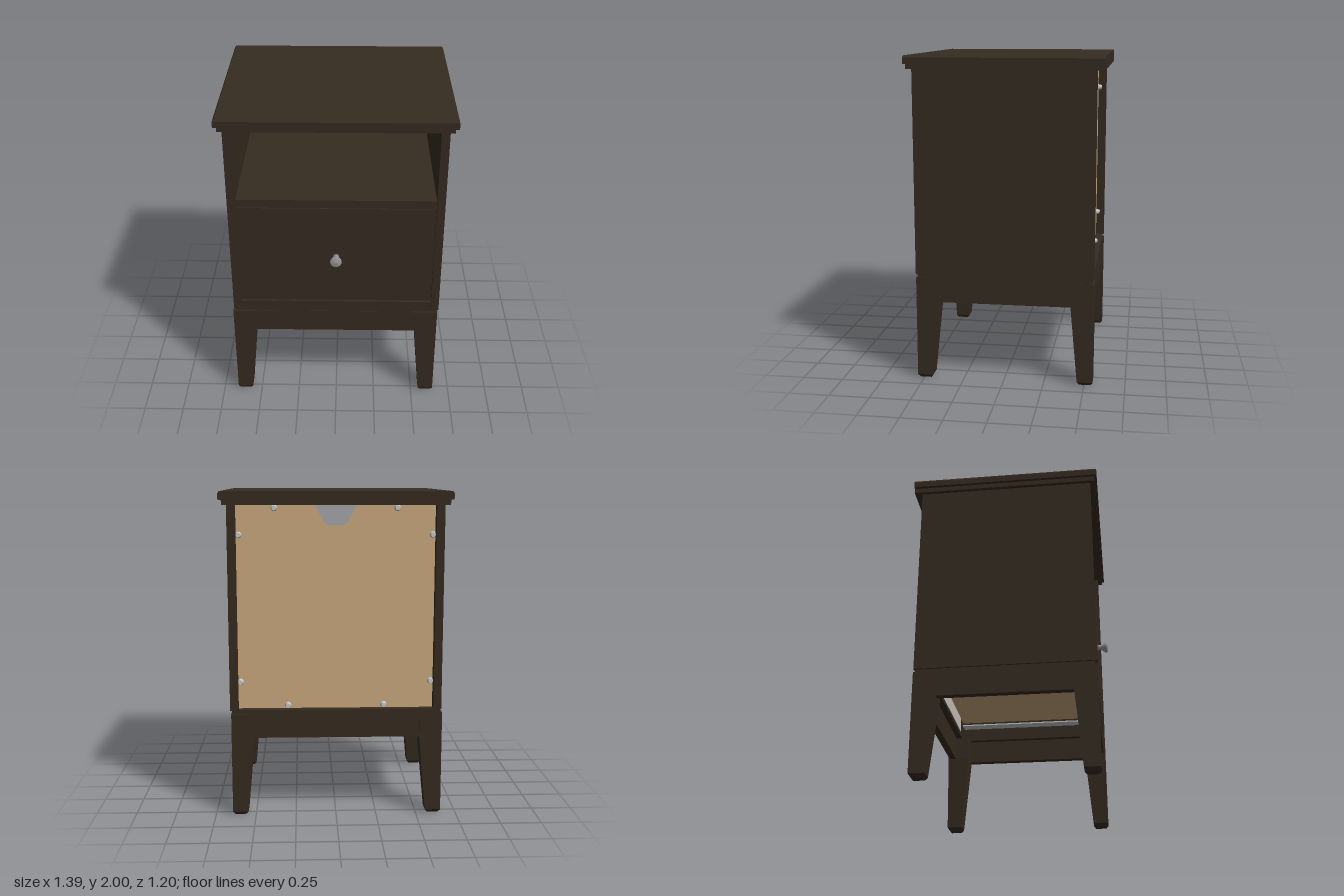
import * as THREE from 'three';

const mat = (name, color) => {
  const m = new THREE.MeshStandardMaterial({ color });
  m.name = name;
  return m;
};

export function createModel() {
  const wood = mat('darkWood', 0x352b20);
  const tan = mat('rawBoard', 0xcba97e);
  const pale = mat('paleBoardFace', 0xc9c3ba);
  const metal = mat('knobMetal', 0x9a9a9a);
  const steel = mat('brightSteel', 0xc4c6c8);

  const root = new THREE.Group();
  root.name = 'nightstand';

  const add = (name, geometry, material, parent = root) => {
    const mesh = new THREE.Mesh(geometry, material);
    mesh.name = name;
    parent.add(mesh);
    return mesh;
  };
  const group = (name) => {
    const g = new THREE.Group();
    g.name = name;
    root.add(g);
    return g;
  };

  // Block between a bottom rectangle and a top rectangle, each [x0, x1, z0, z1]
  const block = (name, y0, y1, bottom, top = bottom, material = wood, parent = root) => {
    const g = new THREE.BoxGeometry(1, 1, 1);
    const p = g.attributes.position;
    for (let i = 0; i < p.count; i++) {
      const up = p.getY(i) > 0;
      const r = up ? top : bottom;
      p.setXYZ(i, p.getX(i) < 0 ? r[0] : r[1], up ? y1 : y0, p.getZ(i) < 0 ? r[2] : r[3]);
    }
    g.computeVertexNormals();
    return add(name, g, material, parent);
  };
  const span = (s, a, b) => [s * a, s * b].sort((m, n) => m - n);

  // Top board with a stepped moulding and a small bevel
  const top = group('top');
  block('topMoulding', 1.92, 1.95, [-0.675, 0.675, -0.6, 0.57], undefined, wood, top);
  const slab = [-0.695, 0.695, -0.6, 0.583];
  block('topSlab', 1.95, 1.988, slab, slab, wood, top);
  block('topBevel', 1.988, 2.0, slab, [-0.687, 0.687, -0.6, 0.575], wood, top);

  // Carcass
  for (const s of [-1, 1]) {
    block(s > 0 ? 'leftSide' : 'rightSide', 0.67, 1.925, [...span(s, 0.6, 0.65), -0.553, 0.54]);
  }
  block('shelf', 1.402, 1.455, [-0.6, 0.6, -0.49, 0.525]);
  block('bottomRail', 0.672, 0.724, [-0.6, 0.6, 0.47, 0.532]);

  // Recessed back board with the cable cut-out: pale inside, tan outside
  const board = new THREE.Shape();
  board.moveTo(-0.6, 0.672);
  board.lineTo(0.6, 0.672);
  board.lineTo(0.6, 1.925);
  board.lineTo(0.13, 1.925);
  board.lineTo(0.075, 1.82);
  board.quadraticCurveTo(0.062, 1.797, 0, 1.795);
  board.quadraticCurveTo(-0.062, 1.797, -0.075, 1.82);
  board.lineTo(-0.13, 1.925);
  board.lineTo(-0.6, 1.925);
  board.closePath();
  const boardGeo = new THREE.ShapeGeometry(board, 8);
  const back = add('backPanelOutside', boardGeo, tan);
  back.rotation.y = Math.PI;
  back.position.z = -0.498;
  add('backPanelInside', boardGeo, pale).position.z = -0.49;

  // Screws holding the back board
  const screws = group('backScrews');
  const screwGeo = new THREE.CylinderGeometry(0.014, 0.02, 0.024, 12).rotateX(-Math.PI / 2);
  for (const s of [-1, 1]) {
    for (const [x, y] of [[0.585, 1.74], [0.585, 0.84], [0.295, 0.692], [0.37, 1.9]]) {
      add('screw', screwGeo, steel, screws).position.set(s * x, y, -0.51);
    }
  }

  // Drawer, open at the top behind its front
  const drawer = group('drawer');
  block('drawerFront', 0.733, 1.401, [-0.599, 0.599, 0.48, 0.53], undefined, wood, drawer);
  block('drawerBottom', 0.77, 0.785, [-0.55, 0.55, -0.46, 0.48], undefined, tan, drawer);
  block('drawerBack', 0.785, 1.25, [-0.55, 0.55, -0.46, -0.43], undefined, wood, drawer);
  for (const s of [-1, 1]) {
    block('drawerSide', 0.75, 1.25, [...span(s, 0.535, 0.56), -0.46, 0.48], undefined, wood, drawer);
    block('drawerRunner', 0.745, 0.79, [...span(s, 0.562, 0.598), -0.46, 0.46], undefined, steel, drawer);
    block('runnerLip', 0.742, 0.75, [...span(s, 0.515, 0.565), -0.46, 0.46], undefined, steel, drawer);
  }

  // Flared knob
  const knobProfile = [[0, 0], [0.02, 0], [0.016, 0.015], [0.02, 0.03], [0.034, 0.05],
    [0.036, 0.06], [0.033, 0.066], [0, 0.07]].map(([r, y]) => new THREE.Vector2(r, y));
  const knob = add('knob', new THREE.LatheGeometry(knobProfile, 16), metal, drawer);
  knob.rotation.x = Math.PI / 2;
  knob.position.set(0, 1.06, 0.53);

  // Recessed frame between carcass and legs
  const frame = group('baseFrame');
  block('frameFront', 0.645, 0.672, [-0.64, 0.64, 0.44, 0.528], undefined, wood, frame);
  block('frameBack', 0.645, 0.672, [-0.64, 0.64, -0.545, -0.46], undefined, wood, frame);
  for (const s of [-1, 1]) {
    block('frameSide', 0.645, 0.672, [...span(s, 0.56, 0.64), -0.46, 0.44], undefined, wood, frame);
  }

  // Aprons
  const aprons = group('aprons');
  block('frontApron', 0.495, 0.645, [-0.52, 0.52, 0.485, 0.53], undefined, wood, aprons);
  block('backApron', 0.495, 0.645, [-0.52, 0.52, -0.545, -0.5], undefined, wood, aprons);
  for (const s of [-1, 1]) {
    block('sideApron', 0.495, 0.645, [...span(s, 0.595, 0.64), -0.42, 0.41], undefined, wood, aprons);
  }

  // Tapered legs with chamfered feet
  const legs = group('legs');
  for (const sx of [-1, 1]) {
    for (const sz of [-1, 1]) {
      const outerX = sx > 0 ? 0.644 : -0.656;
      const outerZ = sz > 0 ? 0.54 : -0.553;
      // Rectangle of the given width, pulled in from the outer corner by inset
      const rect = (width, inset = 0) => {
        const x = [outerX - sx * inset, outerX - sx * (width - inset)];
        const z = [outerZ - sz * inset, outerZ - sz * (width - inset)];
        return [Math.min(...x), Math.max(...x), Math.min(...z), Math.max(...z)];
      };
      const leg = new THREE.Group();
      leg.name = (sz > 0 ? 'front' : 'back') + (sx > 0 ? 'Left' : 'Right') + 'Leg';
      legs.add(leg);
      block('legTop', 0.495, 0.648, rect(0.14), rect(0.14), wood, leg);
      block('legTaper', 0.02, 0.495, rect(0.097), rect(0.14), wood, leg);
      block('foot', 0, 0.02, rect(0.097, 0.014), rect(0.097), wood, leg);
    }
  }

  return root;
}
